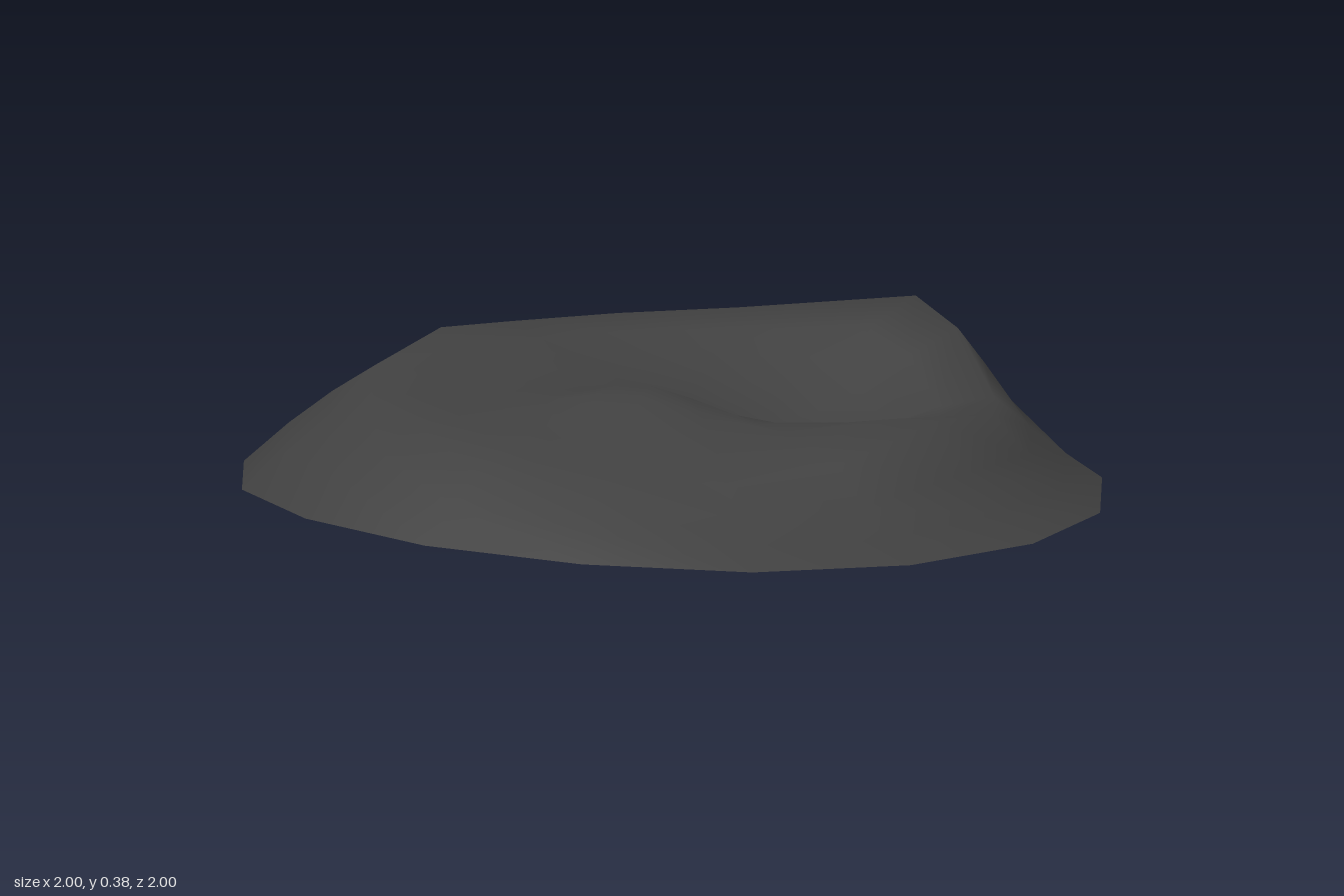
import * as THREE from 'three';

const SIDES = 16;

// Per spoke, starting at +x and turning towards +z: [crest radius, crest height, edge height]
const SPOKES = [
  [0.73, 0.262, 0.005], [0.70, 0.19, 0.002], [0.70, 0.16, 0.01], [0.68, 0.185, 0.028],
  [0.67, 0.225, 0.045], [0.70, 0.25, 0.06], [0.70, 0.275, 0.065], [0.69, 0.30, 0.065],
  [0.64, 0.348, 0.065], [0.67, 0.328, 0.065], [0.67, 0.33, 0.065], [0.72, 0.335, 0.065],
  [0.77, 0.36, 0.065], [0.78, 0.335, 0.05], [0.75, 0.225, 0.03], [0.75, 0.235, 0.015],
];
// Pull the tallest summit a little off its spoke
const SUMMIT = { spoke: 12, turn: 0.17, radius: 0.80, height: 0.385 };

const bump = (x, z, cx, cz, size) =>
  Math.exp(-((x - cx) ** 2 + (z - cz) ** 2) / (2 * size * size));

// Height of the ground inside the crest: plateau, sunken crater, inner knoll
function innerHeight(x, z, t, crest) {
  const pit = 0.15 * bump(x, z, 0.25, -0.3, 0.25) + 0.02 * bump(x, z, 0.36, -0.15, 0.1);
  const knoll = 0.07 * bump(x, z, 0.1, 0.26, 0.13);
  const blend = t ** 2.5;
  return (0.272 - pit + knoll) * (1 - blend) + crest * blend;
}

function craterGeometry() {
  const inner = [0.17, 0.34, 0.5, 0.66, 0.83, 1];
  const outer = [0.33, 0.66, 1];
  const positions = [0, innerHeight(0, 0, 0, 0), 0];
  const index = [];

  const spokes = SPOKES.map(([r, h, edge], j) => {
    const angle = (j / SIDES) * Math.PI * 2;
    return j === SUMMIT.spoke
      ? { angle, turn: SUMMIT.turn, r: SUMMIT.radius, h: SUMMIT.height, edge }
      : { angle, turn: 0, r, h, edge };
  });

  // Rings from the middle out to the crest
  for (const t of inner) {
    for (const s of spokes) {
      const a = s.angle + s.turn * t;
      const x = Math.cos(a) * s.r * t, z = Math.sin(a) * s.r * t;
      positions.push(x, innerHeight(x, z, t, s.h), z);
    }
  }
  // Rings from the crest down to the sixteen-sided edge
  for (const t of outer) {
    for (const s of spokes) {
      const a = s.angle + s.turn * (1 - t);
      const r = THREE.MathUtils.lerp(s.r, 1, t);
      const swell = (0.015 - 0.045 * Math.max(0, Math.cos(s.angle)) ** 2) * Math.sin(Math.PI * t);
      positions.push(Math.cos(a) * r, THREE.MathUtils.lerp(s.h, s.edge, t) + swell, Math.sin(a) * r);
    }
  }

  const rings = inner.length + outer.length;
  for (let j = 0; j < SIDES; j++) {
    const k = (j + 1) % SIDES;
    index.push(0, 1 + k, 1 + j);
    for (let i = 0; i < rings - 1; i++) {
      const a = 1 + i * SIDES, b = a + SIDES;
      index.push(a + j, a + k, b + j, a + k, b + k, b + j);
    }
  }

  const geometry = new THREE.BufferGeometry();
  geometry.setAttribute('position', new THREE.Float32BufferAttribute(positions, 3));
  geometry.setIndex(index);
  geometry.computeVertexNormals();
  return geometry;
}

export function createModel() {
  const rock = new THREE.MeshStandardMaterial({ color: 0x404040, side: THREE.DoubleSide });
  rock.name = 'dark rock';

  const mound = new THREE.Mesh(craterGeometry(), rock);
  mound.name = 'craterMound';

  const model = new THREE.Group();
  model.name = 'crater';
  model.add(mound);
  return model;
}
